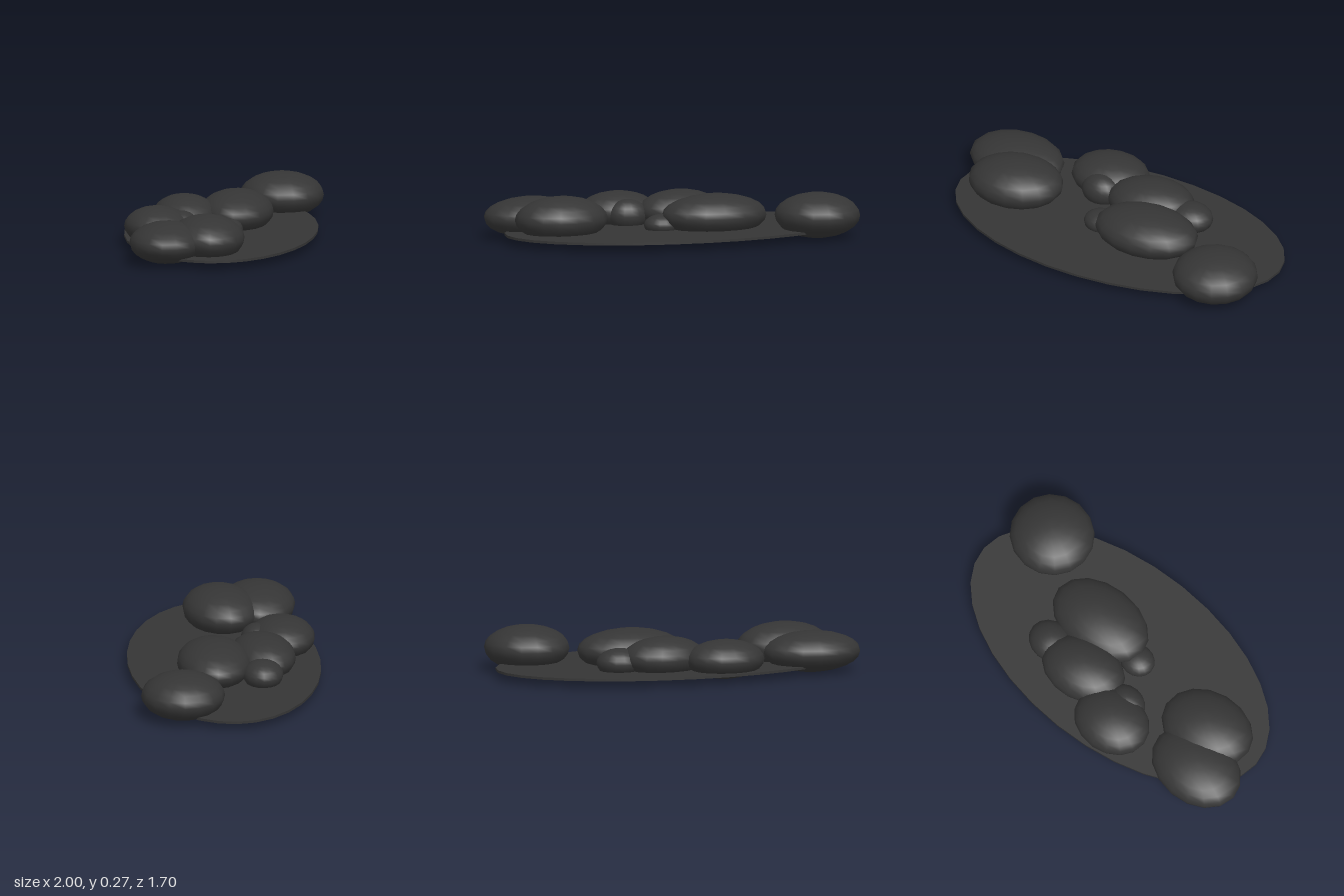
import * as THREE from 'three';

export function createModel() {
  const model = new THREE.Group();
  const charcoal = new THREE.MeshStandardMaterial({ color: 0x353535 });
  charcoal.name = 'charcoal';

  // Thin oval ground patch, turned diagonally
  const patch = new THREE.Mesh(new THREE.CylinderGeometry(1, 1, 0.015, 32), charcoal);
  patch.name = 'groundPatch';
  patch.scale.set(1.045, 1, 0.567);
  patch.rotation.y = THREE.MathUtils.degToRad(46.6);
  patch.position.y = 0.0525;
  model.add(patch);

  // Flattened rounded stones: name, centre, radii (long, height, short), turn in degrees
  const stones = [
    ['rightOuterStone', [-0.74, 0.126, 0.407], [0.292, 0.12, 0.222], 45],
    ['rightInnerStone', [-0.505, 0.137, 0.485], [0.285, 0.134, 0.223], 55],
    ['middleRightStone', [-0.425, 0.122, -0.072], [0.237, 0.115, 0.195], 50],
    ['middleBackStone', [-0.095, 0.128, -0.22], [0.26, 0.122, 0.19], 57],
    ['middleFrontStone', [0.2, 0.134, -0.103], [0.32, 0.126, 0.218], 47],
    ['leftStone', [0.75, 0.138, -0.357], [0.253, 0.133, 0.247], 45],
    ['backPebble', [0.1, 0.105, -0.4], [0.14, 0.085, 0.12], 45],
    ['frontPebble', [-0.04, 0.083, 0.1], [0.108, 0.065, 0.096], 45],
    ['rightPebble', [-0.31, 0.113, 0.02], [0.122, 0.095, 0.098], 45],
  ];
  const ball = new THREE.SphereGeometry(1, 16, 12);
  for (const [name, centre, radii, turn] of stones) {
    const stone = new THREE.Mesh(ball, charcoal);
    stone.name = name;
    stone.position.set(...centre);
    stone.scale.set(...radii);
    stone.rotation.y = THREE.MathUtils.degToRad(turn);
    model.add(stone);
  }
  return model;
}
